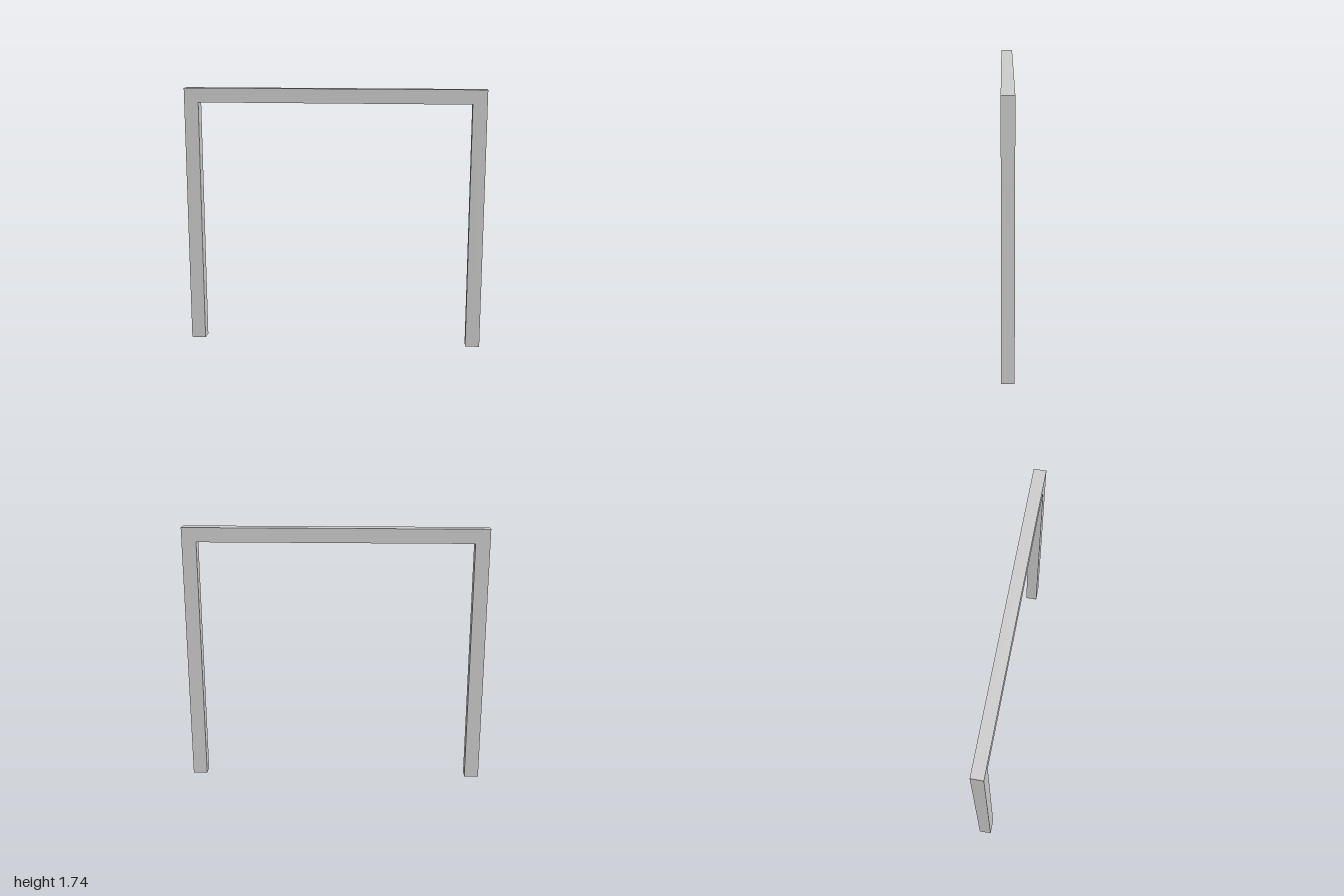
import * as THREE from 'three';

const HEIGHT = 1.74, BAR = 0.095, DEPTH = 0.08;

// Drops the triangles lying on the ground, leaving the hollow feet open.
function openFeet(geometry) {
  const p = geometry.attributes.position;
  const kept = [];
  for (let i = 0; i < p.count; i += 3) {
    const onGround = [0, 1, 2].every((k) => Math.abs(p.getY(i + k)) < 1e-5);
    if (!onGround) kept.push(i, i + 1, i + 2);
  }
  geometry.setIndex(kept);
  const result = geometry.toNonIndexed();
  result.computeVertexNormals();
  return result;
}

export function createModel() {
  const group = new THREE.Group();
  group.name = 'doorFrame';

  // Two posts and a lintel as one continuous outline
  const inner = 1 - BAR, top = HEIGHT - BAR;
  const outline = new THREE.Shape([
    [-1, 0], [-inner, 0], [-inner, top], [inner, top],
    [inner, 0], [1, 0], [1, HEIGHT], [-1, HEIGHT],
  ].map(([x, y]) => new THREE.Vector2(x, y)));

  const geometry = new THREE.ExtrudeGeometry(outline, { depth: DEPTH, bevelEnabled: false });
  geometry.translate(0, 0, -DEPTH / 2);

  const frame = new THREE.Mesh(
    openFeet(geometry),
    new THREE.MeshStandardMaterial({ color: 0xcccccc, flatShading: true, side: THREE.DoubleSide }),
  );
  frame.name = 'frame';
  group.add(frame);
  return group;
}
